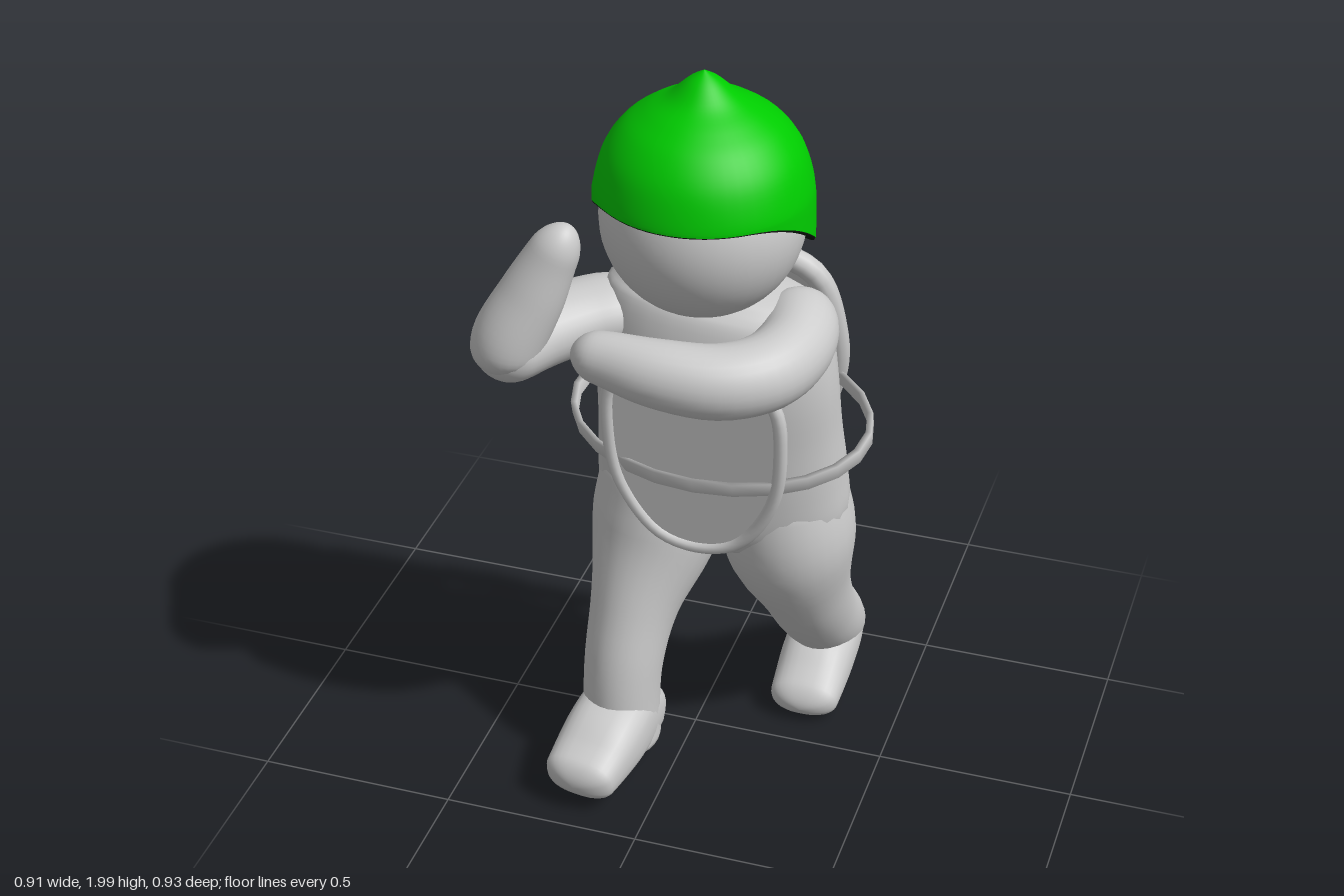
import * as THREE from 'three';

const grey = new THREE.MeshStandardMaterial({ color: 0xcccccc, side: THREE.DoubleSide });
const green = new THREE.MeshStandardMaterial({ color: 0x00cc00, side: THREE.DoubleSide });
const dark = new THREE.MeshStandardMaterial({ color: 0x0a140a });

function part(name, geometry, material = grey) {
  const mesh = new THREE.Mesh(geometry, material);
  mesh.name = name;
  return mesh;
}

// Smooth round-ended form through sections [x, y, z, halfWidth, halfDepth].
// ref is the direction of the half width, cap the share of the length that is rounded off.
function loft(sections, { ref = [1, 0, 0], cap = 0.12, square = 1, rings = 36, sides = 28 } = {}) {
  const path = new THREE.CatmullRomCurve3(sections.map(s => new THREE.Vector3(s[0], s[1], s[2])), false, 'catmullrom');
  const size = new THREE.CatmullRomCurve3(sections.map(s => new THREE.Vector3(s[3], s[4], 0)), false, 'catmullrom');
  const pos = [], index = [];
  const bend = v => Math.sign(v) * Math.abs(v) ** square;
  for (let i = 0; i <= rings; i++) {
    const t = (1 - Math.cos(Math.PI * i / rings)) / 2;
    const c = path.getPoint(t), r = size.getPoint(t), T = path.getTangent(t);
    const side = new THREE.Vector3(...ref).addScaledVector(T, -T.dot(new THREE.Vector3(...ref))).normalize();
    const up = new THREE.Vector3().crossVectors(T, side);
    const e = Math.max(0, 1 - Math.min(t, 1 - t) / cap);
    const k = Math.max(0.002, Math.sqrt(Math.max(0, 1 - e * e)));
    for (let j = 0; j < sides; j++) {
      const a = j / sides * Math.PI * 2;
      const p = c.clone().addScaledVector(side, r.x * k * bend(Math.cos(a))).addScaledVector(up, r.y * k * bend(Math.sin(a)));
      pos.push(p.x, p.y, p.z);
      if (i < rings) {
        const n = i * sides, b = n + (j + 1) % sides;
        index.push(n + j, b, n + j + sides, b, b + sides, n + j + sides);
      }
    }
  }
  const g = new THREE.BufferGeometry();
  g.setAttribute('position', new THREE.Float32BufferAttribute(pos, 3));
  g.setIndex(index);
  g.computeVertexNormals();
  return g;
}

// Shield-shaped plate with a raised round border, mirrored from half an outline.
function shield(name, half, border, depth) {
  const group = new THREE.Group();
  group.name = name;
  const mirrored = half.slice(1, -1).reverse().map(([x, y]) => [-x, y]);
  const curve = new THREE.CatmullRomCurve3([...half, ...mirrored].map(([x, y]) => new THREE.Vector3(x, y, 0)), true);
  const shape = new THREE.Shape(curve.getPoints(48).slice(0, -1).map(p => new THREE.Vector2(p.x, p.y)));
  const panel = new THREE.ExtrudeGeometry(shape, { depth, bevelEnabled: false });
  panel.translate(0, 0, -depth / 2);
  group.add(part(name + 'Panel', panel), part(name + 'Border', new THREE.TubeGeometry(curve, 64, border, 10, true)));
  return group;
}

// Helmet rim: high over the face, low over the neck.
const rimDrop = z => 0.005 + 0.19 * (1 - THREE.MathUtils.smoothstep(z, -0.22, 0.2));

function helmet() {
  const group = new THREE.Group();
  group.name = 'helmet';
  const dome = new THREE.SplineCurve([[0.255, 1.52], [0.255, 1.6], [0.254, 1.68], [0.248, 1.74], [0.226, 1.81],
    [0.186, 1.866], [0.135, 1.905], [0.08, 1.938], [0.035, 1.978], [0, 2]].map(p => new THREE.Vector2(...p)));
  const profile = dome.getPoints(45).map(p => new THREE.Vector2(Math.max(0, p.x), p.y));
  const g = new THREE.LatheGeometry(profile, 48);
  const p = g.attributes.position;
  for (let i = 0; i < p.count; i++) {
    const y = p.getY(i);
    if (y < 1.72) p.setY(i, 1.72 - (1.72 - y) / 0.2 * rimDrop(p.getZ(i)));
  }
  group.add(part('helmetDome', g, green));
  const rim = [];
  for (let i = 0; i < 32; i++) {
    const a = i / 32 * Math.PI * 2, z = 0.248 * Math.cos(a);
    rim.push(new THREE.Vector3(0.248 * Math.sin(a), 1.72 - rimDrop(z), z));
  }
  group.add(part('helmetRim', new THREE.TubeGeometry(new THREE.CatmullRomCurve3(rim, true), 64, 0.006, 6, true), dark));
  group.position.set(0.085, 0, 0.205);
  return group;
}

export function createModel() {
  const model = new THREE.Group();
  model.name = 'figure';

  // Head and helmet
  const head = part('head', new THREE.SphereGeometry(0.238, 40, 28));
  head.position.set(0.085, 1.645, 0.212);
  model.add(head, helmet());

  // Torso with flat shoulders, and the neck
  model.add(part('torso', loft([
    [0.07, 0.63, -0.02, 0.25, 0.14], [0.07, 0.73, -0.015, 0.315, 0.18], [0.07, 0.86, 0.005, 0.315, 0.185],
    [0.07, 1.0, 0.03, 0.305, 0.175], [0.07, 1.15, 0.055, 0.3, 0.162], [0.07, 1.28, 0.055, 0.285, 0.15],
    [0.075, 1.35, 0.05, 0.265, 0.125], [0.08, 1.4, 0.05, 0.2, 0.085],
  ], { square: 0.93, cap: 0.06, rings: 48 })));
  model.add(part('neck', loft([
    [0.08, 1.3, 0.05, 0.13, 0.11], [0.082, 1.39, 0.075, 0.1, 0.095], [0.085, 1.45, 0.105, 0.08, 0.08],
    [0.085, 1.55, 0.14, 0.08, 0.08],
  ])));

  // Striding legs, the right one in front
  model.add(part('rightLeg', loft([
    [-0.08, 0.88, 0, 0.14, 0.15], [-0.095, 0.65, 0.02, 0.165, 0.165], [-0.125, 0.45, 0.11, 0.114, 0.125],
    [-0.14, 0.3, 0.16, 0.1, 0.112], [-0.145, 0.15, 0.17, 0.097, 0.112], [-0.145, 0.03, 0.165, 0.1, 0.105],
  ], { cap: 0.06 })));
  model.add(part('rightFoot', loft([
    [-0.145, 0.085, 0.05, 0.095, 0.055], [-0.147, 0.125, 0.17, 0.1, 0.1], [-0.155, 0.122, 0.27, 0.103, 0.095],
    [-0.17, 0.1, 0.36, 0.098, 0.072], [-0.183, 0.082, 0.447, 0.088, 0.05],
  ], { square: 0.75, cap: 0.12 })));
  model.add(part('leftLeg', loft([
    [0.22, 0.88, -0.01, 0.14, 0.15], [0.235, 0.65, -0.03, 0.168, 0.178], [0.26, 0.45, -0.1, 0.118, 0.13],
    [0.262, 0.3, -0.205, 0.105, 0.11], [0.265, 0.18, -0.325, 0.097, 0.1], [0.265, 0.11, -0.41, 0.085, 0.08],
  ], { cap: 0.07 })));
  model.add(part('leftFoot', loft([
    [0.265, 0.14, -0.465, 0.07, 0.05], [0.262, 0.125, -0.36, 0.092, 0.08], [0.262, 0.1, -0.25, 0.095, 0.09],
    [0.262, 0.072, -0.16, 0.092, 0.068], [0.262, 0.048, -0.07, 0.087, 0.042],
  ], { square: 0.82, cap: 0.13 })));

  // Left arm folded across the chest
  const up = { ref: [0, 1, 0] };
  model.add(part('leftArm', loft([
    [0.23, 1.295, -0.02, 0.085, 0.09], [0.275, 1.29, 0.07, 0.098, 0.097], [0.28, 1.28, 0.17, 0.095, 0.092],
    [0.24, 1.275, 0.265, 0.092, 0.092], [0.15, 1.275, 0.33, 0.09, 0.087], [0.02, 1.29, 0.358, 0.083, 0.077],
    [-0.1, 1.305, 0.357, 0.068, 0.062], [-0.19, 1.31, 0.35, 0.052, 0.05],
  ], { ...up, cap: 0.1, rings: 48 })));

  // Right arm raised with the hand beside the head
  model.add(part('rightUpperArm', loft([
    [-0.07, 1.285, 0.03, 0.08, 0.1], [-0.22, 1.275, 0.11, 0.083, 0.105], [-0.315, 1.265, 0.21, 0.087, 0.1],
    [-0.365, 1.26, 0.3, 0.086, 0.092], [-0.395, 1.265, 0.375, 0.075, 0.08],
  ], { ...up, cap: 0.22 })));
  model.add(part('rightForearm', loft([
    [-0.375, 1.19, 0.31, 0.07, 0.07], [-0.365, 1.28, 0.305, 0.088, 0.088], [-0.31, 1.4, 0.285, 0.08, 0.075],
    [-0.265, 1.5, 0.27, 0.064, 0.06], [-0.222, 1.585, 0.26, 0.05, 0.05],
  ], { cap: 0.2 })));

  // Plates on the back and chest
  const back = shield('backShell', [[0, 0.325], [0.12, 0.32], [0.2, 0.27], [0.24, 0.1], [0.235, -0.04],
    [0.17, -0.22], [0.085, -0.31], [0, -0.325]], 0.03, 0.02);
  back.position.set(0.07, 1.075, -0.17);
  back.rotation.x = 0.23;
  const chest = shield('chestPlate', [[0, 0.27], [0.13, 0.265], [0.2, 0.2], [0.215, 0.06], [0.19, -0.1],
    [0.1, -0.235], [0, -0.265]], 0.017, 0.012);
  chest.position.set(0.065, 0.97, 0.216);
  chest.rotation.x = 0.09;
  model.add(back, chest);

  // Loose tilted belt around both plates
  const band = [[0.96, -0.02], [1, -0.02], [1, 0.02], [0.96, 0.02], [0.96, -0.02]].map(p => new THREE.Vector2(...p));
  const belt = part('belt', new THREE.LatheGeometry(band, 24));
  belt.scale.set(0.38, 1, 0.247);
  belt.rotation.x = 0.275;
  belt.position.set(0.07, 0.985, 0.013);
  model.add(belt);

  return model;
}
